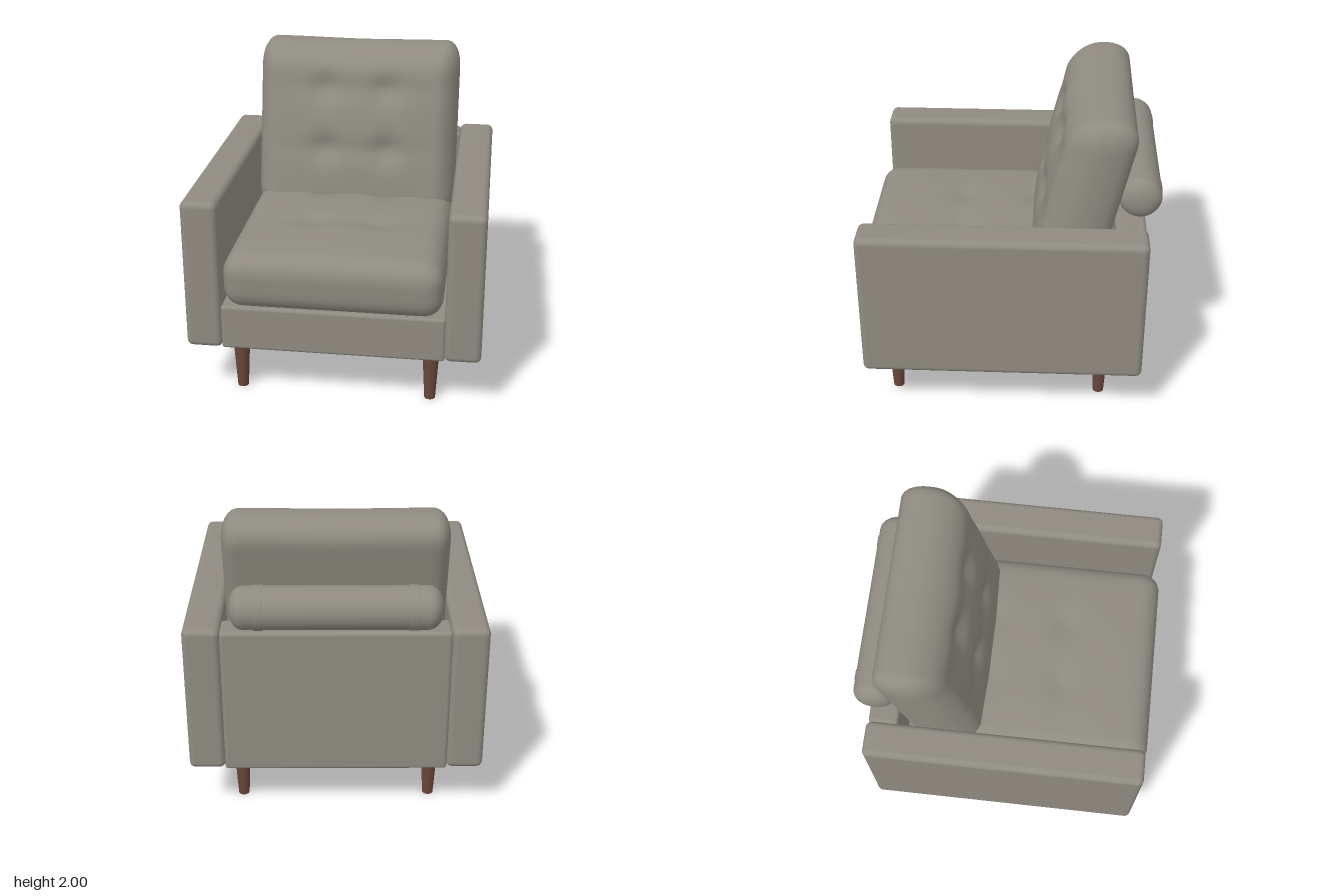
import * as THREE from 'three';
import { mergeVertices } from 'three/addons/utils/BufferGeometryUtils.js';
import { RoundedBoxGeometry } from 'three/addons/geometries/RoundedBoxGeometry.js';

const fabric = new THREE.MeshStandardMaterial({ color: 0x8f8b81 });
fabric.name = 'greyFabric';
const wood = new THREE.MeshStandardMaterial({ color: 0x69463a });
wood.name = 'brownWood';

function add(group, name, geometry, material, x = 0, y = 0, z = 0) {
  const mesh = new THREE.Mesh(geometry, material);
  mesh.name = name;
  mesh.position.set(x, y, z);
  group.add(mesh);
  return mesh;
}

// Upholstered block given by its limits on each axis
function block(group, name, [x0, x1], [y0, y1], [z0, z1], r) {
  const g = new RoundedBoxGeometry(x1 - x0, y1 - y0, z1 - z0, 4, r);
  return add(group, name, g, fabric, (x0 + x1) / 2, (y0 + y1) / 2, (z0 + z1) / 2);
}

// Soft box with elliptical corner radii; shape(p) then displaces each vertex
function cushion(half, radii, segments, shape) {
  let g = new THREE.BoxGeometry(half.x * 2, half.y * 2, half.z * 2, ...segments);
  g.deleteAttribute('uv');
  g.deleteAttribute('normal');
  g = mergeVertices(g);
  const inner = half.clone().sub(radii);
  const low = inner.clone().negate();
  const pos = g.attributes.position;
  const p = new THREE.Vector3();
  for (let i = 0; i < pos.count; i++) {
    p.fromBufferAttribute(pos, i);
    const core = p.clone().clamp(low, inner);
    p.sub(core).divide(radii).normalize().multiply(radii).add(core);
    shape(p);
    pos.setXYZ(i, p.x, p.y, p.z);
  }
  g.computeVertexNormals();
  return g;
}

const bump = (d, s) => Math.exp(-(d * d) / (s * s));

// Button dents at x = +-0.21 on each row, joined by shallow creases
function tuft(u, v, rows, depth) {
  let d = 0;
  for (const row of rows) {
    d += 0.3 * bump(v - row, 0.07) * bump(u, 0.5);
    for (const s of [-1, 1]) d += 0.7 * bump(Math.hypot(u - s * 0.21, v - row), 0.1);
  }
  return depth * d;
}

export function createModel() {
  const chair = new THREE.Group();
  chair.name = 'armchair';

  // Frame
  for (const s of [1, -1]) {
    const arm = block(chair, s > 0 ? 'leftArm' : 'rightArm', [0.7, 0.93], [0.355, 1.34], [-0.87, 0.905], 0.04);
    arm.position.x *= s;
  }
  block(chair, 'seatBase', [-0.705, 0.705], [0.35, 0.645], [-0.7, 0.89], 0.02);
  block(chair, 'backPanel', [-0.705, 0.705], [0.342, 1.32], [-0.86, -0.67], 0.025);

  // Seat cushion: crowned top, front face leaning forward towards the top
  const seat = cushion(new THREE.Vector3(0.685, 0.18, 0.8), new THREE.Vector3(0.12, 0.13, 0.12), [40, 12, 48], (p) => {
    if (p.z > 0.5) p.z += 0.06 * p.y * (p.z - 0.5) / 0.3;
    if (p.y > 0) {
      const w = p.y / 0.18;
      p.y += w * (0.035 * (1 - (p.x / 0.685) ** 2) * (1 - (p.z / 0.82) ** 4) - tuft(p.x, p.z - 0.185, [0, -0.5], 0.025));
    }
  });
  add(chair, 'seatCushion', seat, fabric, 0, 0.82, 0.145);

  // Back cushion: tufted front, leaning backwards
  const back = cushion(new THREE.Vector3(0.687, 0.575, 0.21), new THREE.Vector3(0.09, 0.17, 0.19), [48, 44, 14], (p) => {
    const puff = (1 - (p.x / 0.69) ** 2) * (1 - (p.y / 0.58) ** 2);
    const w = Math.max(0, p.z / 0.21);
    p.x *= 1 - 0.07 * w * w;
    p.z += w * (0.045 * puff - tuft(p.x, p.y, [0.295, -0.105], 0.05));
    if (p.y > 0) p.y -= 0.008 * (p.y / 0.575) ** 4 * bump(p.x, 0.35);
    p.z -= 0.23 * (p.y + 0.425);
  });
  add(chair, 'backCushion', back, fabric, 0, 1.425, -0.38);

  // Bolster behind the back cushion, with two thin bands
  const bolster = new THREE.Group();
  bolster.name = 'bolster';
  bolster.position.set(0, 1.473, -0.82);
  bolster.rotation.z = Math.PI / 2;
  chair.add(bolster);
  const end = [];
  for (let i = 0; i <= 10; i++) {
    const a = (i / 10) * Math.PI / 2;
    end.push(new THREE.Vector2(0.134 * Math.sin(a) ** 0.8, 0.55 + 0.09 * Math.cos(a)));
  }
  const profile = [
    ...end.map((p) => new THREE.Vector2(p.x, -p.y)),
    ...end.slice().reverse(),
  ];
  add(bolster, 'bolsterRoll', new THREE.LatheGeometry(profile, 40), fabric);
  for (const s of [-1, 1]) {
    const band = [[0.133, -0.03], [0.138, -0.028], [0.138, 0.028], [0.133, 0.03]].map(([x, y]) => new THREE.Vector2(x, y));
    add(bolster, 'bolsterBand', new THREE.LatheGeometry(band, 40), fabric, 0, s * 0.465, 0);
  }

  // Tapered legs
  for (const x of [-0.612, 0.612]) {
    for (const z of [0.73, -0.615]) {
      add(chair, z > 0 ? 'frontLeg' : 'rearLeg', new THREE.CylinderGeometry(0.055, 0.035, 0.36, 24), wood, x, 0.18, z);
    }
  }
  return chair;
}
